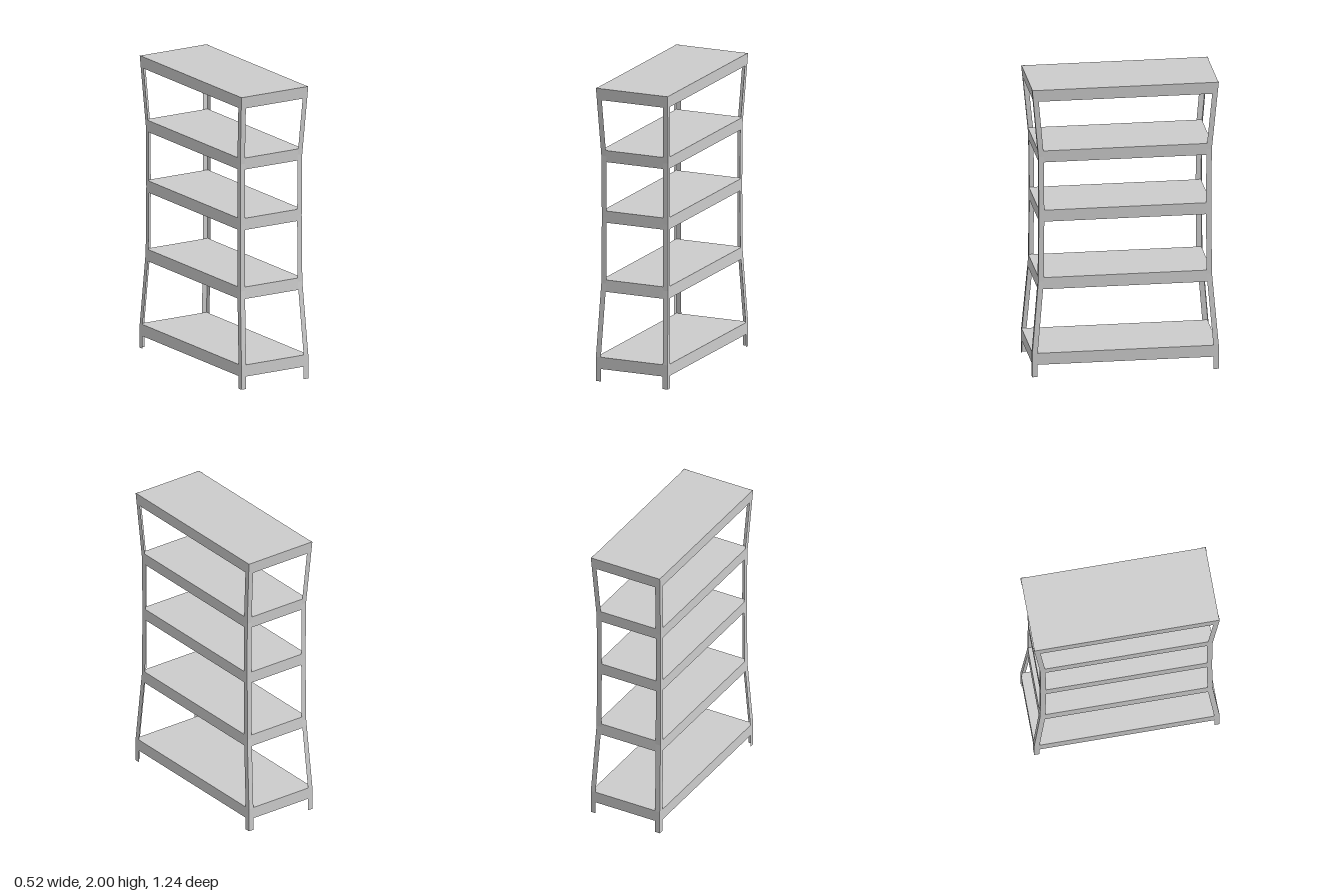
import * as THREE from 'three';

// Post outline: height, half width (x), half depth (z)
const PROFILE = [
  [0, 0.262, 0.622],
  [0.165, 0.262, 0.622],
  [0.66, 0.243, 0.579],
  [1.11, 0.241, 0.575],
  [1.53, 0.243, 0.578],
  [2, 0.262, 0.622],
];
const SHELF_TOPS = [0.165, 0.685, 1.155, 1.57, 2];
const RIM = 0.08; // depth of the folded shelf edge
const FLANGE = 0.036; // width of each leg of the angle post
const GAP = 0.002; // shelves sit just inside the posts

const material = new THREE.MeshStandardMaterial({
  color: 0xcccccc, flatShading: true, side: THREE.DoubleSide,
});

// Half width and half depth of the rack at height y
function halfSize(y) {
  const i = Math.max(1, PROFILE.findIndex((p) => p[0] >= y));
  const [a, b] = [PROFILE[i - 1], PROFILE[i]];
  const t = (y - a[0]) / (b[0] - a[0]);
  return [a[1] + (b[1] - a[1]) * t, a[2] + (b[2] - a[2]) * t];
}

// Sheet geometry from a list of four-cornered panels
function sheet(quads) {
  const points = quads.flatMap(([a, b, c, d]) => [a, b, c, a, c, d]).flat();
  const geometry = new THREE.BufferGeometry();
  geometry.setAttribute('position', new THREE.Float32BufferAttribute(points, 3));
  geometry.computeVertexNormals();
  return geometry;
}

// Bent L-section post at the corner with signs sx, sz
function postGeometry(sx, sz) {
  const rows = PROFILE.map(([y, x, z]) => [
    [sx * (x - FLANGE), y, sz * z],
    [sx * x, y, sz * z],
    [sx * x, y, sz * (z - FLANGE)],
  ]);
  const quads = [];
  for (let i = 0; i < rows.length - 1; i++) {
    for (let j = 0; j < 2; j++) {
      const quad = [rows[i][j], rows[i][j + 1], rows[i + 1][j + 1], rows[i + 1][j]];
      quads.push(sx * sz > 0 ? quad : quad.reverse());
    }
  }
  return sheet(quads);
}

// Shelf pan: flat top with a rim folded down on four sides, open below
function shelfGeometry(top) {
  const ring = (y) => {
    const [x, z] = halfSize(y).map((v) => v - GAP);
    return [[-x, y, z], [x, y, z], [x, y, -z], [-x, y, -z]];
  };
  const upper = ring(top);
  const lower = ring(top - RIM);
  const quads = [upper];
  for (let i = 0; i < 4; i++) {
    const j = (i + 1) % 4;
    quads.push([lower[i], lower[j], upper[j], upper[i]]);
  }
  return sheet(quads);
}

export function createModel() {
  const rack = new THREE.Group();
  rack.name = 'shelvingRack';

  const add = (name, geometry) => {
    const mesh = new THREE.Mesh(geometry, material);
    mesh.name = name;
    rack.add(mesh);
  };

  // Four corner posts
  for (const sx of [1, -1]) {
    for (const sz of [1, -1]) {
      add((sz > 0 ? 'front' : 'back') + (sx > 0 ? 'Left' : 'Right') + 'Post', postGeometry(sx, sz));
    }
  }

  // Five shelves, from the bottom up
  SHELF_TOPS.forEach((top, i) => add('shelf' + (i + 1), shelfGeometry(top)));

  return rack;
}
